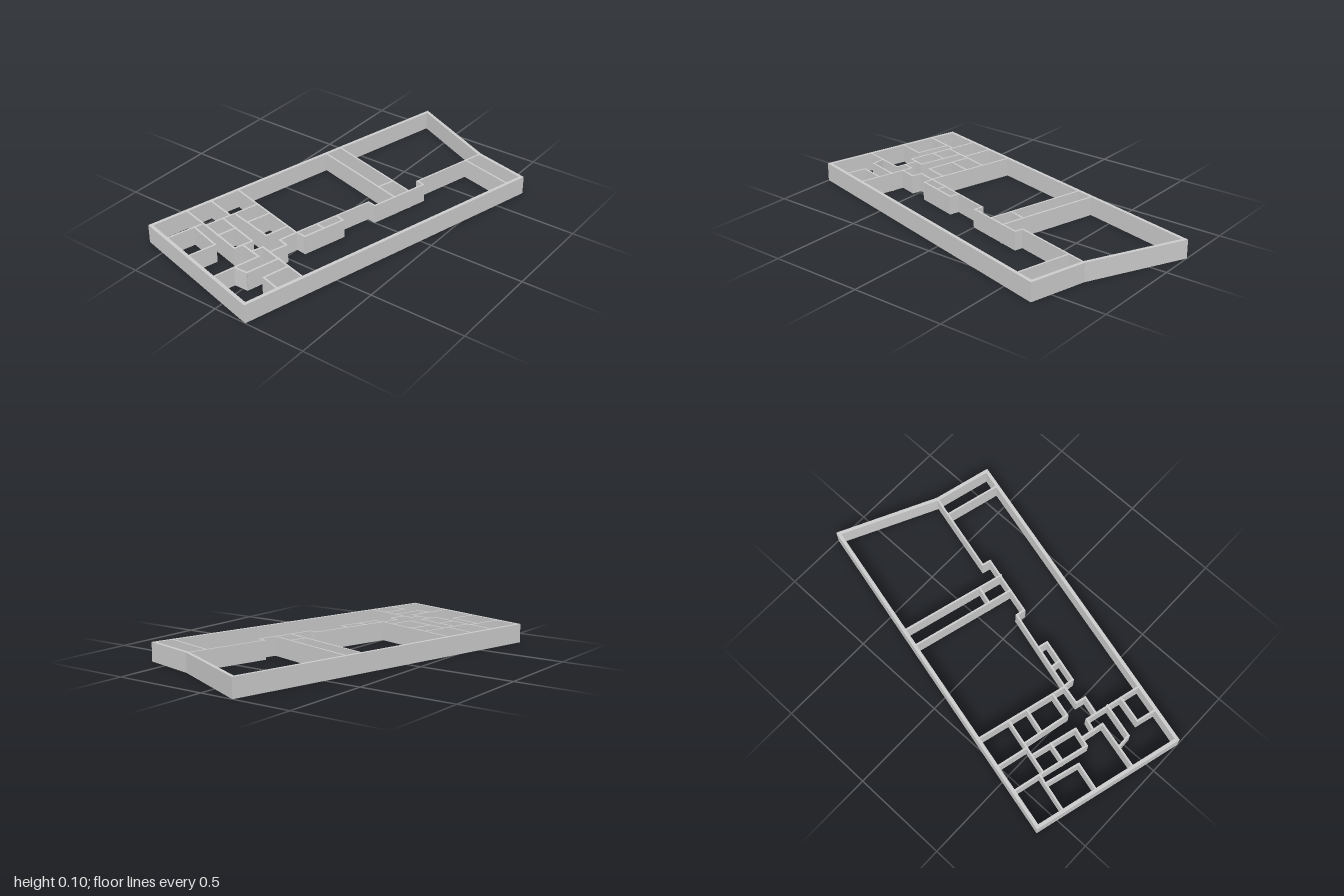
import * as THREE from 'three';

const HEIGHT = 0.098;
const OUTER = 0.018;
const INNER = 0.01;

// Outer perimeter corners as [x, z]
const perimeter = [[-0.789, -0.613], [1, -0.184], [0.76, 0.312], [0.684, 0.613], [-1, 0.177]];

// Partition runs as [x, z] polylines, grouped by area
const partitions = {
  westRooms: [
    [[-0.82, -0.463], [-0.63, -0.413]],
    [[-0.67, -0.42], [-0.722, -0.243], [-0.87, -0.282]],
    [[-0.585, -0.55], [-0.625, -0.39], [-0.69, -0.15], [-0.595, -0.123], [-0.53, -0.36]],
    [[-0.655, -0.285], [-0.556, -0.26]],
    [[-0.625, -0.39], [-0.34, -0.317]],
    [[-0.445, -0.52], [-0.487, -0.353]],
    [[-0.463, -0.345], [-0.519, -0.1], [-0.4, -0.07]],
    [[-0.48, -0.246], [-0.36, -0.214]],
    [[-0.285, -0.48], [-0.413, -0.003]],
  ],
  entryRooms: [
    [[-0.92, -0.077], [-0.674, -0.016], [-0.647, -0.134]],
    [[-0.663, -0.07], [-0.603, -0.05], [-0.68, 0.25]],
    [[-0.807, -0.048], [-0.805, 0.025], [-0.63, 0.07]],
    [[-0.652, 0.144], [-0.788, 0.11], [-0.817, 0.215]],
  ],
  corridorWall: [
    [[-0.612, 0.003], [-0.524, 0.027], [-0.51, -0.024], [-0.41, 0], [0.013, 0.115], [0.005, 0.16],
      [0.314, 0.24], [0.326, 0.198], [0.75, 0.308]],
    [[-0.41, 0], [-0.417, 0.053], [-0.195, 0.112], [-0.182, 0.064]],
    [[-0.297, 0.032], [-0.305, 0.08]],
  ],
  eastRooms: [
    [[0.273, -0.348], [0.128, 0.193]],
    [[0.367, -0.326], [0.219, 0.219]],
    [[0.16, 0.07], [0.25, 0.096]],
    [[0.652, 0.283], [0.578, 0.575]],
  ],
};

// Moves every edge of a polygon inward and intersects neighbouring edges
function inset(points, d) {
  const n = points.length;
  const dir = points.map((p, i) => {
    const q = points[(i + 1) % n];
    return new THREE.Vector2(q[0] - p[0], q[1] - p[1]).normalize();
  });
  return points.map((p, i) => {
    const a = dir[(i + n - 1) % n], b = dir[i];
    const k = d / (1 + a.dot(b));
    return [p[0] - (a.y + b.y) * k, p[1] + (a.x + b.x) * k];
  });
}

export function createModel() {
  const model = new THREE.Group();
  const material = new THREE.MeshStandardMaterial({ color: 0xcccccc, flatShading: true });

  // Perimeter ring, extruded upward; the hole winds opposite to the outline so its walls face inward
  const toPlan = ([x, z]) => new THREE.Vector2(x, -z);
  const ring = new THREE.Shape(perimeter.map(toPlan));
  ring.holes.push(new THREE.Path(inset(perimeter, OUTER).map(toPlan).reverse()));
  const ringGeometry = new THREE.ExtrudeGeometry(ring, { depth: HEIGHT, bevelEnabled: false });
  ringGeometry.rotateX(-Math.PI / 2);
  const outerWall = new THREE.Mesh(ringGeometry, material);
  outerWall.name = 'outerWall';
  model.add(outerWall);

  // Thin partitions, one box per straight stretch
  for (const [name, runs] of Object.entries(partitions)) {
    const group = new THREE.Group();
    group.name = name;
    for (const run of runs) {
      for (let i = 0; i < run.length - 1; i++) {
        const [x0, z0] = run[i], [x1, z1] = run[i + 1];
        const length = Math.hypot(x1 - x0, z1 - z0) + INNER;
        const wall = new THREE.Mesh(new THREE.BoxGeometry(length, HEIGHT, INNER), material);
        wall.position.set((x0 + x1) / 2, HEIGHT / 2, (z0 + z1) / 2);
        wall.rotation.y = -Math.atan2(z1 - z0, x1 - x0);
        wall.name = 'partition';
        group.add(wall);
      }
    }
    model.add(group);
  }
  return model;
}
